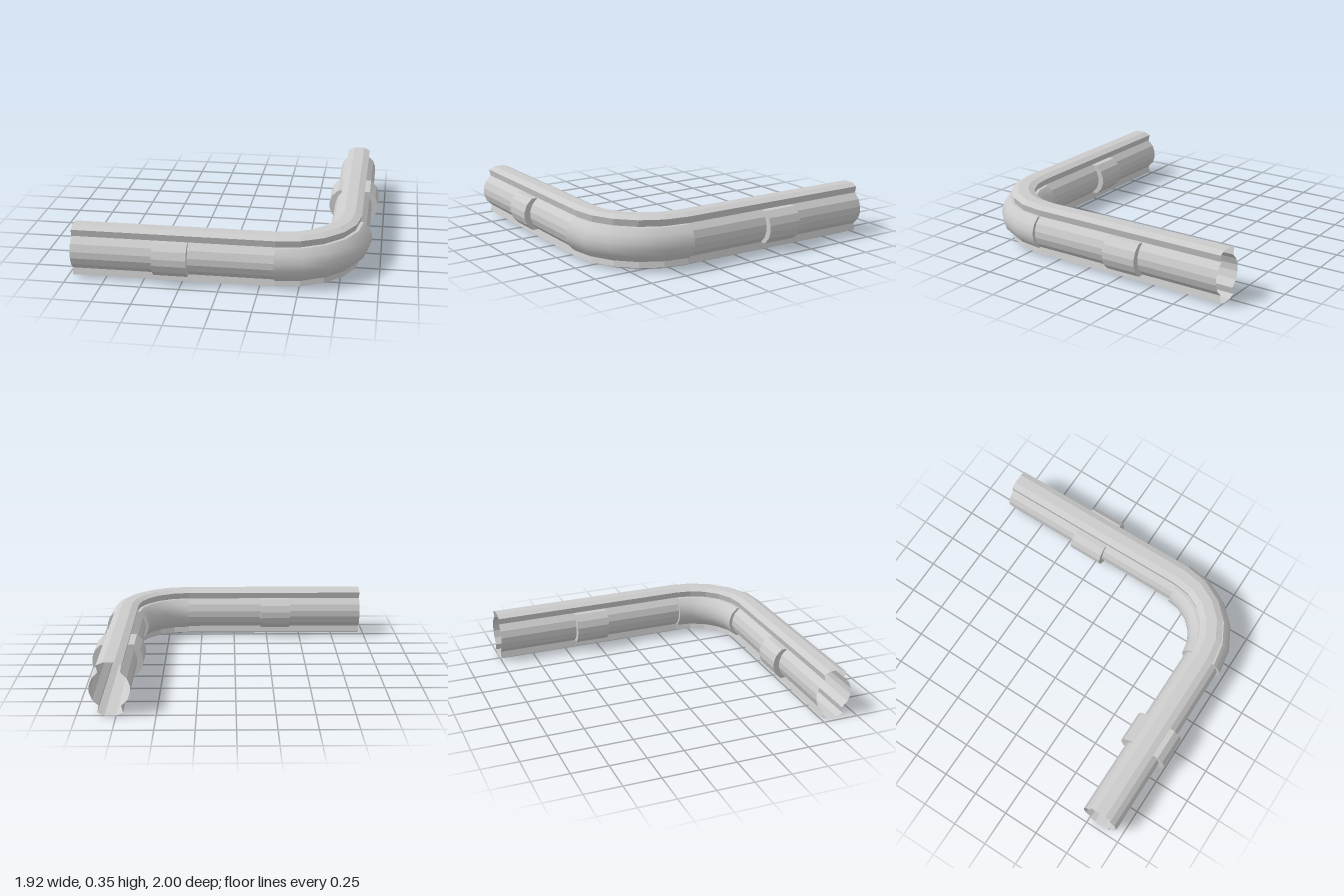
import * as THREE from 'three';
import { toCreasedNormals } from 'three/addons/utils/BufferGeometryUtils.js';

const MID = 0.176;                      // height of the pipe axis
const BEND = 0.437;                     // bend radius of the axis
const AX = 0.35, AZ = 0.393;            // centre of the bend
const STEPS = 5;

// Half cross-sections as [outward, up] from the axis
const RAIL = [[0.07, 0.11], [0.08, 0.155], [0.036, 0.174], [-0.036, 0.174], [-0.08, 0.155], [-0.07, 0.11]];
const ARC = [[0.07, -0.11], [0.11, -0.07], [0.128, -0.022], [0.128, 0.022], [0.11, 0.07], [0.07, 0.11]];

// The side arc pushed outwards by d, with ledges leading back to the rails
const sideProfile = (d) => [ARC[0], ...ARC.map(([u, v]) => [u + d, v]), ARC[5]];

// Stations on the axis: position and outward direction, d = extra width
const onX = (x, d = 0) => ({ x, z: AZ + BEND, lx: 0, lz: 1, d });
const onZ = (z, d = 0) => ({ x: AX + BEND, z, lx: 1, lz: 0, d });
const onBend = (i, d = 0) => {
  const a = (i / STEPS) * Math.PI / 2, s = Math.sin(a), c = Math.cos(a);
  return { x: AX + BEND * s, z: AZ + BEND * c, lx: s, lz: c, d };
};
const bend = (d) => Array.from({ length: STEPS + 1 }, (_, i) => onBend(i, d));

// Skin through the stations; sign -1 turns the profile half way round the axis
function sweep(stations, profileAt, sign, smooth) {
  const pos = [], index = [];
  let n = 0;
  for (const s of stations) {
    const profile = profileAt(s.d);
    n = profile.length;
    for (const [u, v] of profile) pos.push(s.x + sign * u * s.lx, MID + sign * v, s.z + sign * u * s.lz);
  }
  for (let i = 0; i < stations.length - 1; i++) {
    for (let k = 0; k < n - 1; k++) {
      const a = i * n + k, b = a + n;
      index.push(a, b, a + 1, b, b + 1, a + 1);
    }
  }
  const geo = new THREE.BufferGeometry();
  geo.setAttribute('position', new THREE.Float32BufferAttribute(pos, 3));
  geo.setIndex(index);
  return toCreasedNormals(geo, smooth ? 0.6 : 0.05);
}

export function createModel() {
  const group = new THREE.Group();
  const material = new THREE.MeshStandardMaterial({ color: 0xcccccc, side: THREE.DoubleSide });
  const add = (name, geo) => {
    const mesh = new THREE.Mesh(geo, material);
    mesh.name = name;
    group.add(mesh);
  };

  // Raised rails along the top and bottom of the whole run
  const run = [onX(-0.963), ...bend(0), onZ(-1)];
  add('topRail', sweep(run, () => RAIL, 1, false));
  add('bottomRail', sweep(run, () => RAIL, -1, false));

  // Wider sleeve: lip out, body, lip back in
  const sleeve = (body) => [{ ...body[0], d: 0 }, ...body, { ...body[body.length - 1], d: 0 }];
  const C = 0.042, E = 0.022;

  for (const [side, sign] of [['outer', 1], ['inner', -1]]) {
    // Straight pipe walls
    add(side + 'FrontPipe', sweep([onX(-0.963), onX(AX)], () => ARC, sign, false));
    add(side + 'SidePipe', sweep([onZ(AZ), onZ(-1)], () => ARC, sign, false));
    // Collars and the elbow
    add(side + 'FrontCollar', sweep(sleeve([onX(-0.425, C), onX(-0.203, C)]), sideProfile, sign, false));
    add(side + 'SideCollar', sweep(sleeve([onZ(-0.187, C), onZ(-0.43, C)]), sideProfile, sign, false));
    add(side + 'Elbow', sweep(sleeve(bend(E)), sideProfile, sign, true));
  }
  return group;
}
